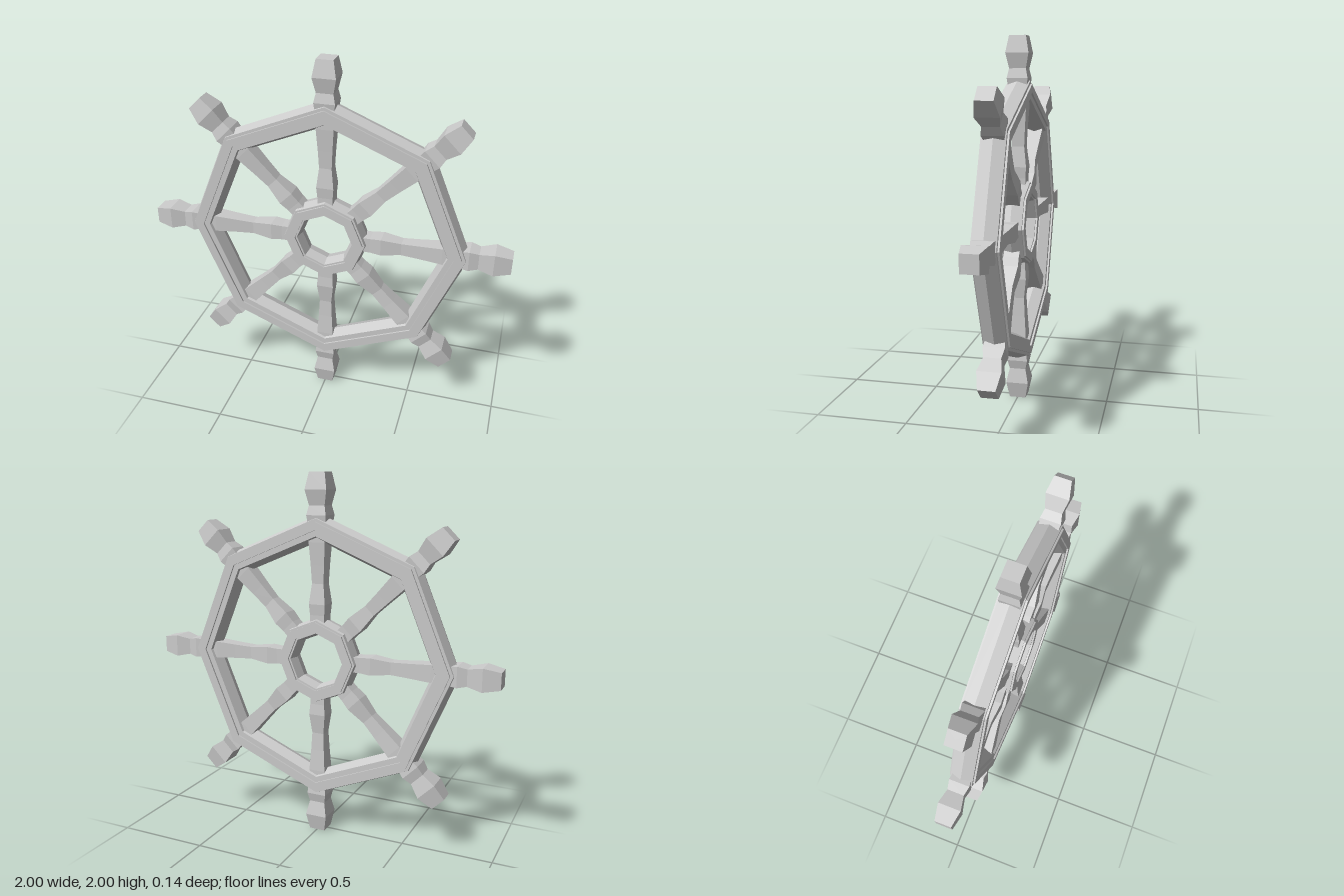
import * as THREE from 'three';

const material = new THREE.MeshStandardMaterial({ color: 0xcccccc, flatShading: true, side: THREE.DoubleSide });

// Lathe from [radius, height] pairs
function lathe(name, profile, sides, phiStart = 0) {
  const points = profile.map(([r, h]) => new THREE.Vector2(r, h));
  const mesh = new THREE.Mesh(new THREE.LatheGeometry(points, sides, phiStart), material);
  mesh.name = name;
  return mesh;
}

// Octagonal ring around z: ridged rims and a raised band on each face
function ring(name, outer, outerFace, bandOuter, bandInner, innerFace, inner) {
  const front = [
    [outerFace, 0.06], [bandOuter, 0.06], [bandOuter, 0.07],
    [bandInner, 0.07], [bandInner, 0.06], [innerFace, 0.06],
  ];
  const back = front.map(([r, z]) => [r, -z]).reverse();
  const mesh = lathe(name, [[outer, 0], ...front, [inner, 0], ...back, [outer, 0]], 8);
  mesh.geometry.rotateX(Math.PI / 2);
  return mesh;
}

// Square turned spoke with its handle: [distance from centre, half width]
const spokeProfile = [
  [0.19, 0.042], [0.25, 0.042], [0.31, 0.047], [0.42, 0.034],
  [0.52, 0.039], [0.64, 0.047], [0.71, 0.047], [0.78, 0.056],
  [0.83, 0.045], [0.91, 0.062], [1.0, 0.045],
];

export function createModel() {
  const group = new THREE.Group();
  group.name = 'shipWheel';

  const wheel = new THREE.Group();
  wheel.name = 'wheel';
  wheel.position.y = 1;
  group.add(wheel);

  wheel.add(ring('rim', 0.785, 0.765, 0.748, 0.705, 0.672, 0.645));
  wheel.add(ring('hub', 0.24, 0.226, 0.215, 0.165, 0.155, 0.14));

  // Eight spokes, capped at both ends
  const profile = spokeProfile.map(([d, half]) => [half * Math.SQRT2, d]);
  const capped = [[0, 0.19], ...profile, [0, 1.0]];
  for (let i = 0; i < 8; i++) {
    const spoke = lathe('spoke' + (i + 1), capped, 4, Math.PI / 4);
    spoke.rotation.z = (i * Math.PI) / 4;
    wheel.add(spoke);
  }
  return group;
}
